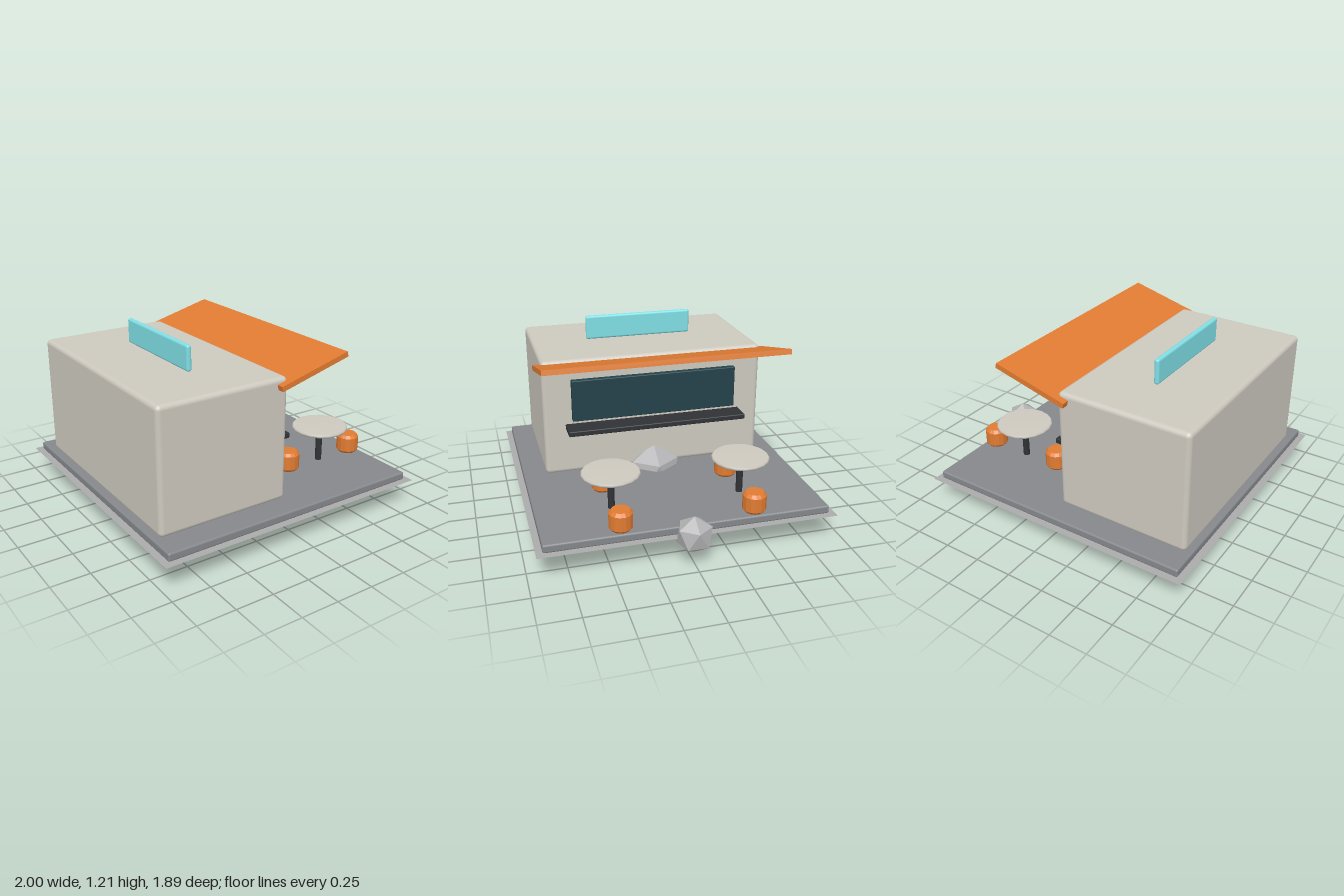
import * as THREE from 'three';
import { RoundedBoxGeometry } from 'three/addons/geometries/RoundedBoxGeometry.js';

const mat = (color, extra = {}) => new THREE.MeshStandardMaterial({ color, ...extra });
const stone = mat(0xcdc9bf);
const paving = mat(0x85888c);
const orange = mat(0xe07b32);
const orangeFacet = mat(0xe07b32, { flatShading: true });
const cyan = mat(0x7fdfe6);
const glass = mat(0x24424a);
const dark = mat(0x303236);
const rockGrey = mat(0xb4b4b6, { flatShading: true });
const shade = mat(0xaaaaaa, { side: THREE.DoubleSide });

export function createModel() {
  const model = new THREE.Group();

  const add = (name, geometry, material, x, y, z, parent = model) => {
    const mesh = new THREE.Mesh(geometry, material);
    mesh.name = name;
    mesh.position.set(x, y, z);
    parent.add(mesh);
    return mesh;
  };
  const roundedBox = (name, w, h, d, r, material, x, y, z) =>
    add(name, new RoundedBoxGeometry(w, h, d, 3, r), material, x, y, z);

  // Ground sheet and paved base
  add('groundSheet', new THREE.PlaneGeometry(1.89, 1.89).rotateX(-Math.PI / 2), shade, -0.055, 0.181, 0);
  roundedBox('base', 1.81, 0.054, 1.81, 0.012, paving, -0.055, 0.209, 0);

  // Kiosk body with its serving window, counter and roof sign
  roundedBox('body', 0.885, 0.8, 1.51, 0.03, stone, -0.4825, 0.64, 0);
  roundedBox('servingWindow', 0.06, 0.285, 1.13, 0.006, glass, -0.033, 0.765, 0);
  roundedBox('counter', 0.17, 0.036, 1.22, 0.007, dark, 0.017, 0.578, 0);
  roundedBox('roofSign', 0.034, 0.165, 0.75, 0.015, cyan, -0.482, 1.124, 0);

  // Sloping awning
  const awning = add('awning', new THREE.BoxGeometry(0.51, 0.034, 1.6), orange, 0.13, 1.05, 0);
  awning.rotation.z = 0.255;

  // Two seating sets: a round table between two chamfered stools
  const stoolProfile = [[0, 0], [0.06, 0], [0.075, 0.018], [0.075, 0.112], [0.058, 0.132], [0, 0.132]]
    .map(([r, y]) => new THREE.Vector2(r, y));
  const topProfile = [[0, 0], [0.178, 0], [0.186, 0.008], [0.186, 0.018], [0.178, 0.026], [0, 0.026]]
    .map(([r, y]) => new THREE.Vector2(r, y));
  for (const side of [-1, 1]) {
    const set = new THREE.Group();
    set.name = side > 0 ? 'frontSeating' : 'backSeating';
    set.position.set(0.51, 0.235, side * 0.425);
    model.add(set);
    add('tablePole', new THREE.CylinderGeometry(0.022, 0.022, 0.23, 12), dark, 0, 0.115, 0, set);
    add('tableTop', new THREE.LatheGeometry(topProfile, 18), stone, 0, 0.23, 0, set);
    for (const dx of [-0.265, 0.265]) {
      add('stool', new THREE.LatheGeometry(stoolProfile, 14), orangeFacet, dx, 0, 0, set);
    }
  }

  // Faceted rocks, each turned so one corner points straight down
  for (const [x, y, r] of [[-0.057, 0.19, 0.19], [0.888, 0.195, 0.122]]) {
    const rock = add('rock', new THREE.IcosahedronGeometry(r, 0), rockGrey, x, y, 0);
    rock.rotation.z = -0.5536;
  }

  return model;
}
